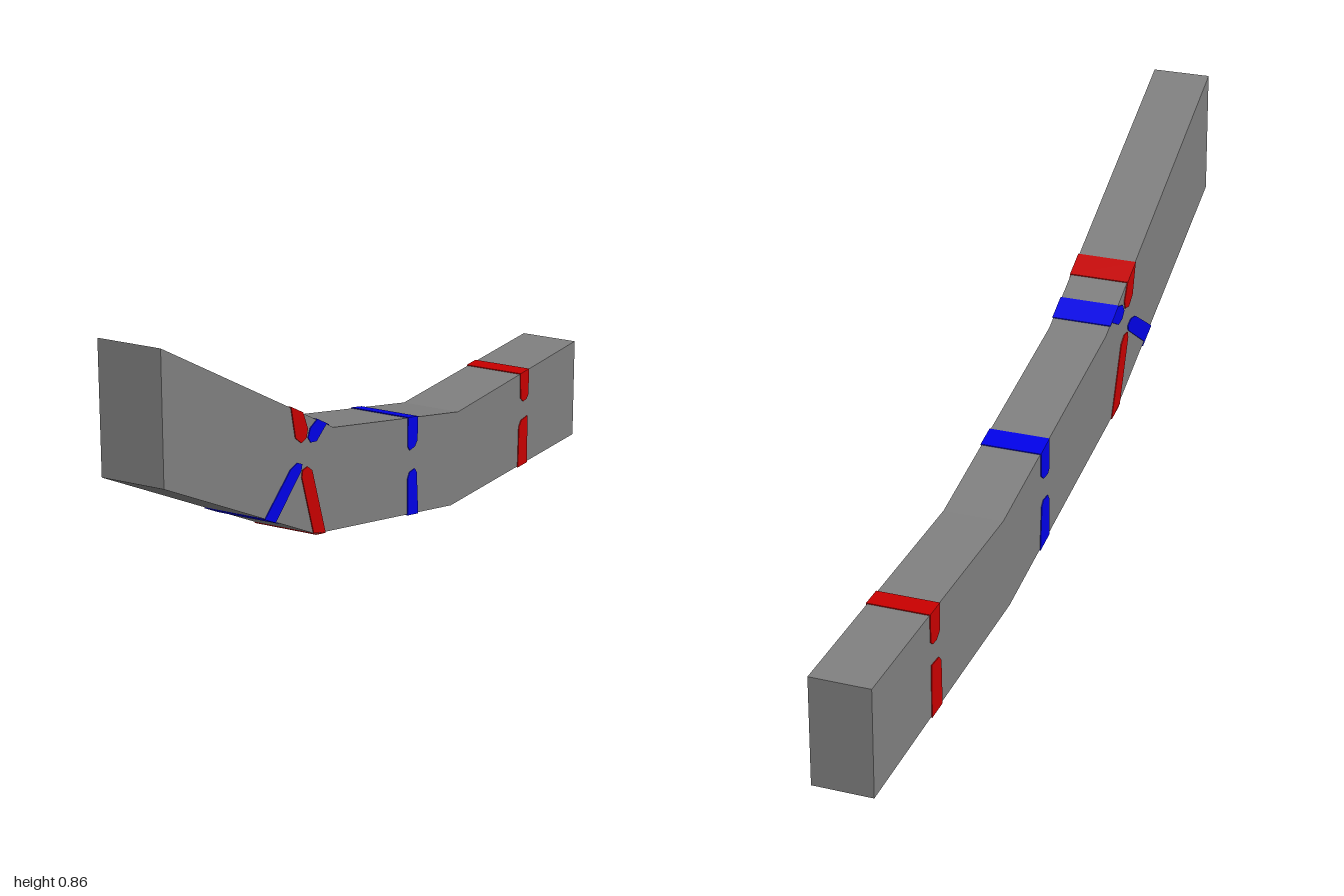
import * as THREE from 'three';

const HALF = 0.068; // half width of the beam
const T = 0.002;    // thickness of the painted marks

// Side outlines as [z, y]
const TOP = [[1, 0.857], [0.30, 0.462], [-0.32, 0.288], [-1, 0.244]];
const BOTTOM = [[1, 0.576], [0.385, 0.254], [-0.285, 0.072], [-1, 0]];

// Height of an outline at a given z
function heightAt(line, z) {
  for (let i = 0; i < line.length - 1; i++) {
    const [z0, y0] = line[i], [z1, y1] = line[i + 1];
    if (z <= z0 && z >= z1) return y0 + (y1 - y0) * (z - z0) / (z1 - z0);
  }
  return line[0][1];
}

// Extrude a [z, y] outline across x, centred on the given x
function slab(name, points, width, x, material) {
  const shape = new THREE.Shape(points.map(([z, y]) => new THREE.Vector2(z, y)));
  const geometry = new THREE.ExtrudeGeometry(shape, { depth: width, bevelEnabled: false });
  geometry.translate(0, 0, -width / 2);
  geometry.rotateY(-Math.PI / 2);
  geometry.translate(x, 0, 0);
  const mesh = new THREE.Mesh(geometry, material);
  mesh.name = name;
  return mesh;
}

export function createModel() {
  const grey = new THREE.MeshStandardMaterial({ color: 0x808080 });
  const red = new THREE.MeshStandardMaterial({ color: 0xc80000 });
  const blue = new THREE.MeshStandardMaterial({ color: 0x0000ff });
  grey.name = 'grey';
  red.name = 'red';
  blue.name = 'blue';

  const group = new THREE.Group();
  group.name = 'bentBeam';
  group.add(slab('beam', [...TOP, ...[...BOTTOM].reverse()], HALF * 2, 0, grey));

  // Bands running across the upper and lower faces, following any bend
  const band = (name, line, zFront, zBack, material) => {
    const side = line === TOP ? T : -T;
    const bends = line.map(p => p[0]).filter(z => z < zFront && z > zBack);
    const path = [zFront, ...bends, zBack].map(z => [z, heightAt(line, z)]);
    const outer = path.map(([z, y]) => [z, y + side]).reverse();
    group.add(slab(name, [...path, ...outer], (HALF + T) * 2, 0, material));
  };
  band('topBandFrontRed', TOP, 0.49, 0.437, red);
  band('topBandFrontBlue', TOP, 0.377, 0.325, blue);
  band('topBandMiddle', TOP, -0.055, -0.107, blue);
  band('topBandRear', TOP, -0.667, -0.717, red);
  band('bottomBandFrontBlue', BOTTOM, 0.605, 0.55, blue);
  band('bottomBandFrontRed', BOTTOM, 0.395, 0.342, red);
  band('bottomBandMiddle', BOTTOM, -0.055, -0.108, blue);
  band('bottomBandRear', BOTTOM, -0.66, -0.714, red);

  // Marks on the side faces, the same on left and right
  const top = z => [z, heightAt(TOP, z)];
  const low = z => [z, heightAt(BOTTOM, z)];
  const marks = [
    ['frontUpperRed', red, [top(0.49), top(0.437), [0.418, 0.5], [0.424, 0.482], [0.447, 0.478], [0.472, 0.497]]],
    ['frontUpperBlue', blue, [top(0.377), top(0.335), [0.38, 0.459], [0.405, 0.465], [0.417, 0.479], [0.407, 0.497]]],
    ['frontLowerBlue', blue, [low(0.605), [0.495, 0.436], [0.465, 0.441], [0.444, 0.431], [0.448, 0.418], low(0.56)]],
    ['frontLowerRed', red, [low(0.395), [0.446, 0.402], [0.442, 0.417], [0.42, 0.417], [0.4, 0.402], low(0.342)]],
    ['middleUpper', blue, [top(-0.055), top(-0.105), [-0.103, 0.295], [-0.09, 0.284], [-0.064, 0.284], [-0.055, 0.295]]],
    ['middleLower', blue, [low(-0.055), [-0.055, 0.22], [-0.064, 0.232], [-0.09, 0.232], [-0.1, 0.22], low(-0.108)]],
    ['rearUpper', red, [top(-0.667), top(-0.717), [-0.715, 0.2], [-0.705, 0.192], [-0.685, 0.192], [-0.67, 0.205]]],
    ['rearLower', red, [low(-0.66), [-0.663, 0.135], [-0.675, 0.147], [-0.712, 0.147], low(-0.714)]],
  ];
  for (const [name, material, points] of marks) {
    group.add(slab(name + 'LeftMark', points, T, HALF + T / 2, material));
    group.add(slab(name + 'RightMark', points, T, -HALF - T / 2, material));
  }
  return group;
}
